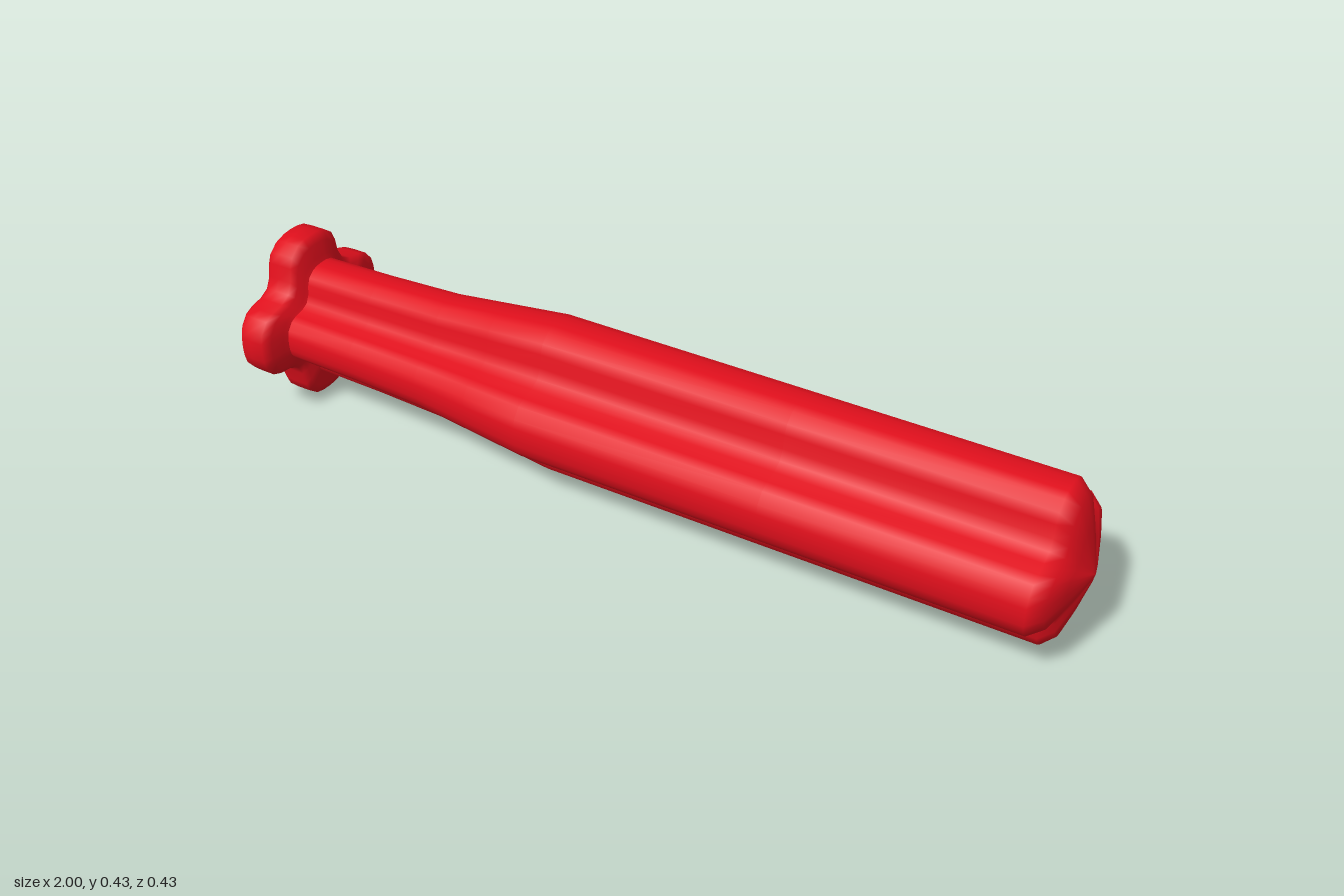
import * as THREE from 'three';

const CENTER_Y = 0.2125;
const LOBE_RADIUS = 0.2125;

// Half of one lobe, from its crest to the valley (sideways, outward)
const half = [[0, 0.2125], [0.024, 0.211], [0.047, 0.205], [0.072, 0.185], [0.082, 0.161], [0.0875, 0.127], [0.101, 0.101]];

// Four-lobed closed outline, turning from +y towards +z
const clover = [];
for (let k = 0; k < 4; k++) {
  const lobe = [...half.slice(1, 6).reverse().map(([s, r]) => [-s, r]), ...half];
  const c = Math.cos(k * Math.PI / 2), n = Math.sin(k * Math.PI / 2);
  for (const [s, r] of lobe) clover.push([r * c - s * n, r * n + s * c]);
}
const circle = clover.map(([y, z]) => {
  const l = Math.hypot(y, z);
  return [y / l * LOBE_RADIUS, z / l * LOBE_RADIUS];
});

// Skin through rings of [x, radius, outline]
function loft(name, rings, material) {
  const positions = [], index = [], n = clover.length;
  rings.forEach(([x, radius, outline = clover], i) => {
    const k = radius / LOBE_RADIUS;
    outline.forEach(([y, z], j) => {
      positions.push(x, y * k, z * k);
      if (i === rings.length - 1) return;
      const a = i * n + j, b = i * n + (j + 1) % n;
      index.push(a, b, a + n, b, b + n, a + n);
    });
  });
  const geometry = new THREE.BufferGeometry();
  geometry.setAttribute('position', new THREE.Float32BufferAttribute(positions, 3));
  geometry.setIndex(index);
  geometry.computeVertexNormals();
  const mesh = new THREE.Mesh(geometry, material);
  mesh.name = name;
  mesh.position.y = CENTER_Y;
  return mesh;
}

export function createModel() {
  const group = new THREE.Group();
  group.name = 'handleGrip';
  const red = new THREE.MeshStandardMaterial({ color: 0xe00f1c });
  const bore = 0.063;

  group.add(
    // Blind hole for the bar
    loft('boreEnd', [[0.85, 0, circle], [0.85, bore, circle]], red),
    loft('boreWall', [[0.85, bore, circle], [-1, bore, circle]], red),
    // Flat open end around the hole
    loft('endFace', [[-1, bore, circle], [-1, 0.185]], red),
    // Raised collar
    loft('collar', [[-1, 0.185], [-0.995, 0.199], [-0.985, 0.2105], [-0.96, 0.2125], [-0.925, 0.2125], [-0.914, 0.19], [-0.905, 0.16], [-0.9, 0.147]], red),
    // Tapered neck, straight body and domed tip
    loft('gripBody', [[-0.905, 0.147], [-0.72, 0.151], [-0.53, 0.159], [-0.385, 0.176], [-0.24, 0.193], [0.35, 0.193], [0.925, 0.193], [0.955, 0.162], [0.975, 0.1], [0.995, 0.025], [1, 0]], red),
  );
  return group;
}
